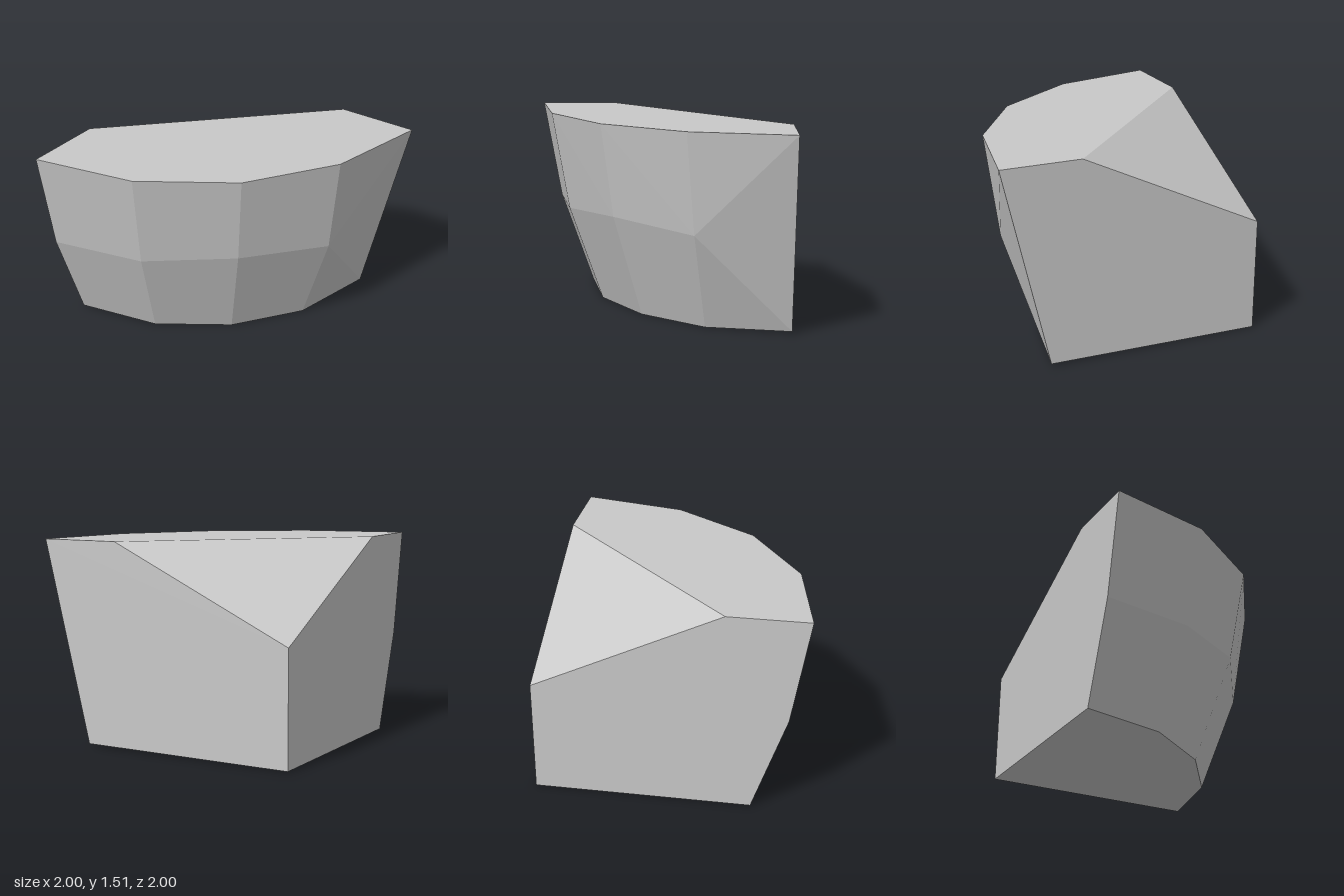
import * as THREE from 'three';
import { ConvexGeometry } from 'three/addons/geometries/ConvexGeometry.js';

export function createModel() {
  const group = new THREE.Group();
  group.name = 'rockCorner';
  const stone = new THREE.MeshStandardMaterial({ color: 0xc9c9c9, flatShading: true });
  stone.name = 'stone grey';

  const corners = [
    // top rim, from the back corner round the bulging side to the front corner
    [-1, 1.515, -1], [-0.845, 1.515, -0.23], [-0.415, 1.515, 0.415], [0.225, 1.515, 0.84], [1, 1.515, 1],
    // belly
    [-0.86, 0.735, -1], [-0.72, 0.755, -0.28], [-0.33, 0.805, 0.33], [0.28, 0.75, 0.74],
    // foot, slightly raised at the front corner
    [-0.6, 0, -1], [-0.47, 0, -0.37], [-0.13, 0, 0.13], [0.36, 0, 0.48], [1, 0.017, 0.635], [1, 0.002, -1],
    // sloping cut across the back left top corner
    [1, 1.515, 0.395], [-0.4, 1.515, -1], [1, 0.85, -1],
  ].map((p) => new THREE.Vector3(...p));

  const rock = new THREE.Mesh(new ConvexGeometry(corners), stone);
  rock.name = 'rock';
  group.add(rock);
  return group;
}
